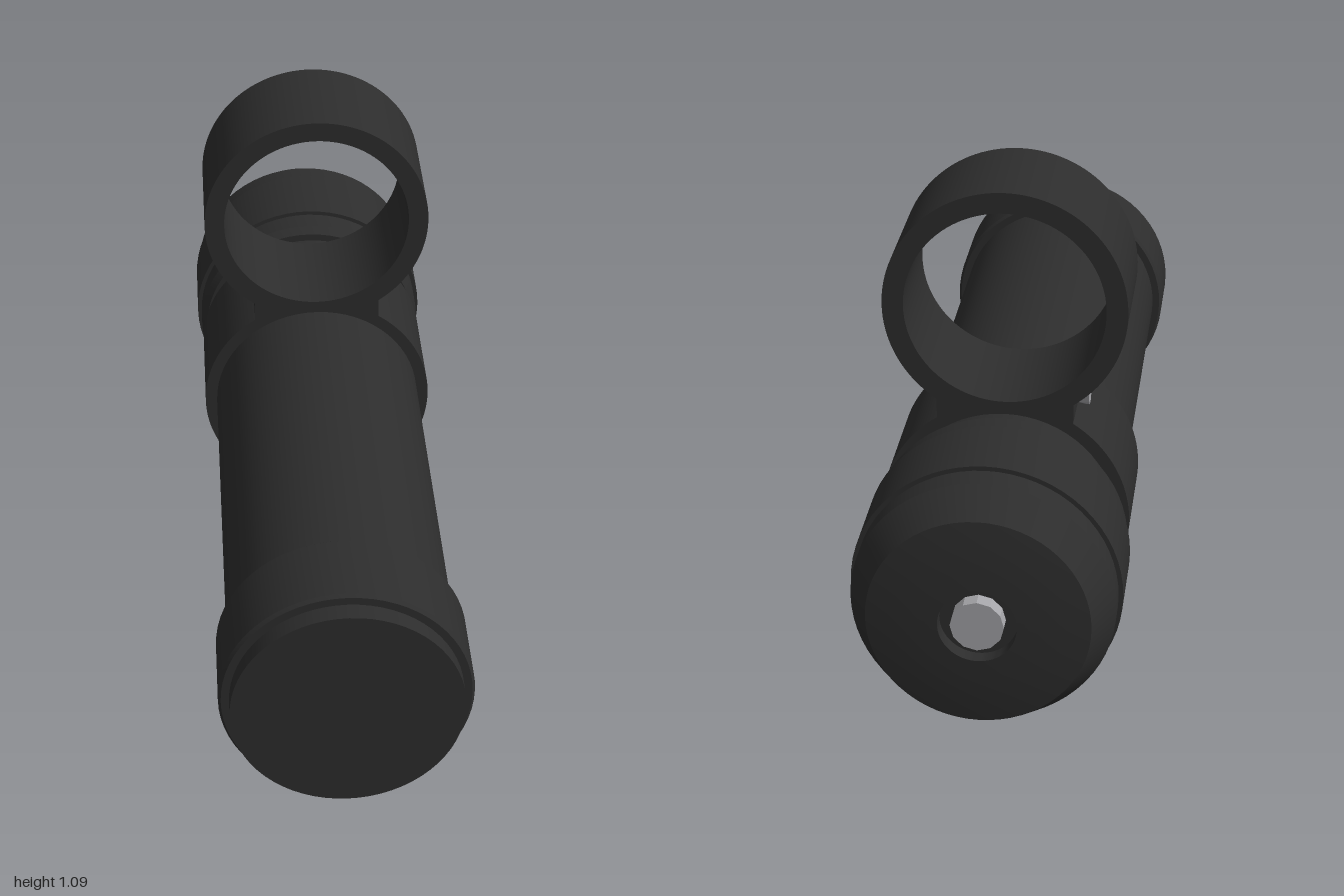
import * as THREE from 'three';
import { toCreasedNormals } from 'three/addons/utils/BufferGeometryUtils.js';

const black = new THREE.MeshStandardMaterial({ color: 0x2d2d2d });
black.name = 'black housing';
const steel = new THREE.MeshStandardMaterial({ color: 0xa6a6aa });
steel.name = 'steel';

const AXIS_Y = 0.302; // height of the barrel axis

export function createModel() {
  const model = new THREE.Group();
  model.name = 'flashlight';

  const add = (name, geometry, material) => {
    const mesh = new THREE.Mesh(toCreasedNormals(geometry, 0.35), material);
    mesh.name = name;
    model.add(mesh);
    return mesh;
  };

  // Turned part along z; profile is [radius, z] from back to front
  const turned = (name, profile, material = black, segments = 64) => {
    const points = profile.map(([r, z]) => new THREE.Vector2(r, z));
    const geometry = new THREE.LatheGeometry(points, segments);
    geometry.rotateX(Math.PI / 2);
    add(name, geometry, material).position.y = AXIS_Y;
  };

  turned('barrel', [[0, -0.9], [0.256, -0.9], [0.256, 1], [0, 1]]);

  turned('frontCollar', [
    [0.25, 0.757], [0.274, 0.757], [0.28, 0.765],
    [0.28, 0.947], [0.274, 0.955], [0.25, 0.955],
  ]);

  // Domed tail cap with a recess for the button
  turned('tailCap', [
    [0, -0.965], [0.085, -0.965], [0.085, -0.999], [0.13, -0.997],
    [0.19, -0.992], [0.242, -0.984], [0.288, -0.9], [0.288, -0.84],
    [0.298, -0.84], [0.298, -0.645], [0.288, -0.645], [0.288, -0.585],
    [0.274, -0.565], [0.25, -0.565],
  ]);

  turned('tailButton', [[0, -1], [0.058, -1], [0.058, -0.96]], steel, 12);

  // Mount: clamp band, neck and upper ring as one outline with two bores
  const ringY = 0.815, ringR = 0.275, clampR = 0.285, neckX = 0.155;
  const a = Math.acos(neckX / clampR);
  const b = Math.acos(neckX / ringR);
  const outline = new THREE.Shape();
  outline.absarc(0, AXIS_Y, clampR, Math.PI - a, Math.PI * 2 + a, false);
  outline.absarc(0, ringY, ringR, -b, Math.PI + b, false);
  outline.closePath();
  for (const [y, r] of [[AXIS_Y, 0.25], [ringY, 0.227]]) {
    outline.holes.push(new THREE.Path().absarc(0, y, r, 0, Math.PI * 2, true));
  }
  const mount = new THREE.ExtrudeGeometry(outline, {
    depth: 0.288, bevelEnabled: false, curveSegments: 48,
  });
  add('mountBracket', mount, black).position.z = -0.498;

  // Clamp screws on both sides of the neck
  for (const side of [1, -1]) {
    const screw = new THREE.CylinderGeometry(0.036, 0.036, 0.05, 10);
    screw.rotateZ(Math.PI / 2);
    add(side > 0 ? 'leftScrew' : 'rightScrew', screw, steel)
      .position.set(side * 0.156, 0.562, -0.354);
  }

  return model;
}
